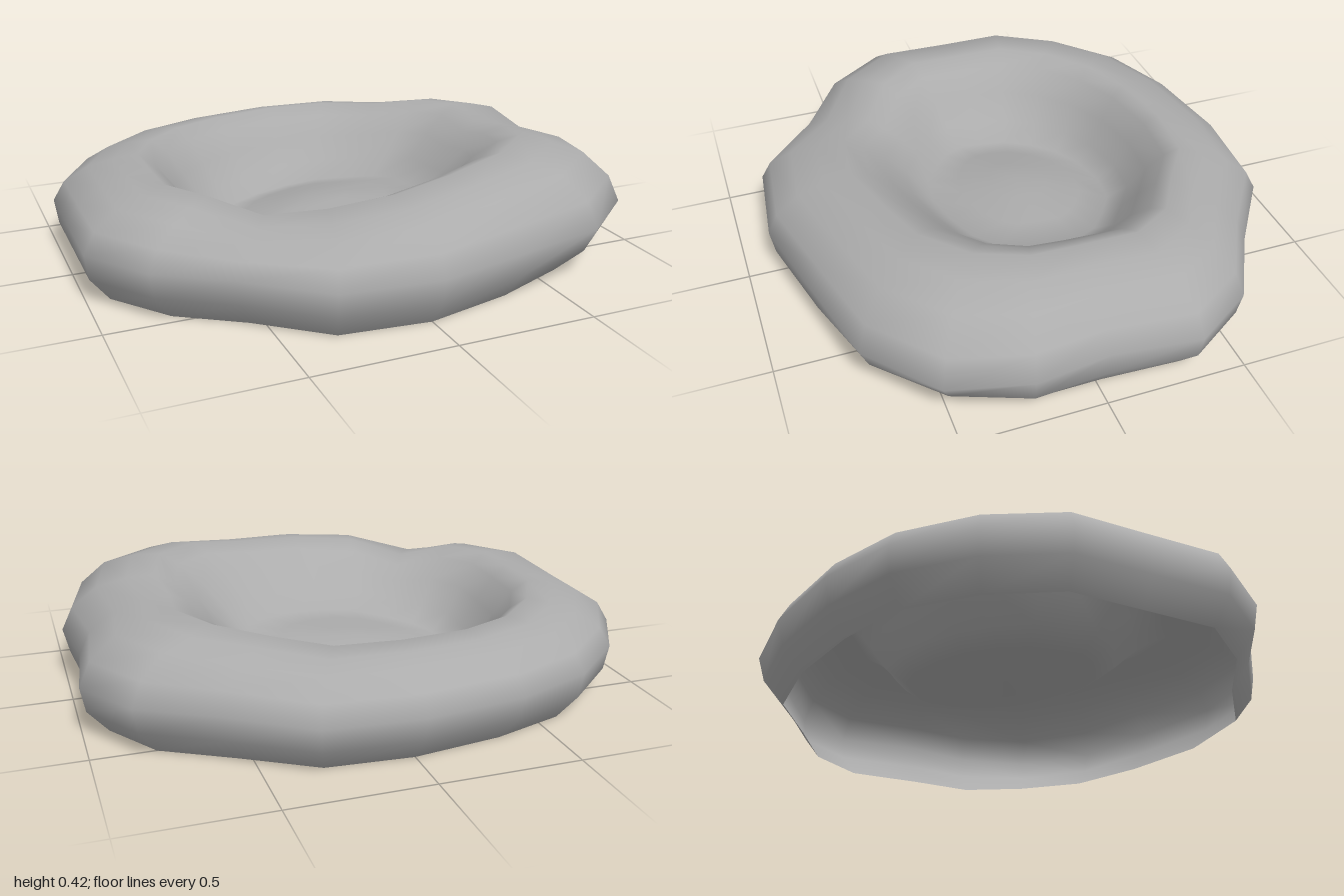
import * as THREE from 'three';

// Plan outline, clockwise from the back: x, z, crest height and foot scale
const foot = 0.91;
const outline = [
  [0, -0.91, 0.34, 0.89], [0.34, -0.885, 0.34, 0.89], [0.6, -0.7, 0.35, foot],
  [0.86, -0.55, 0.375, foot], [1, -0.33, 0.385, foot], [0.965, -0.02, 0.37, 0.93],
  [1, 0.25, 0.395, 0.9], [0.93, 0.53, 0.418, 0.83], [0.69, 0.735, 0.41, 0.86],
  [0.35, 0.82, 0.38, foot], [0, 0.905, 0.36, foot], [-0.35, 0.87, 0.335, foot],
  [-0.6, 0.66, 0.29, foot], [-0.84, 0.5, 0.345, foot], [-1, 0.27, 0.35, 0.92],
  [-1, -0.02, 0.345, 0.92], [-1, -0.3, 0.345, 0.92], [-0.86, -0.55, 0.34, foot],
  [-0.64, -0.75, 0.335, foot], [-0.36, -0.86, 0.335, 0.89],
];

// Section from above the foot over the rim into the hollow:
// plan scale, fixed height, share of the crest height
const section = [
  [1, 0.18, 0], [0.96, 0.13, 0.35], [0.87, 0.03, 0.8], [0.77, 0, 0.96], [0.68, 0, 1],
  [0.62, 0, 0.9], [0.55, 0.06, 0.54], [0.48, 0.12, 0.14], [0.4, 0.11, 0],
  [0.28, 0.125, 0], [0.14, 0.145, 0],
];

const hollowCentre = [-0.08, -0.07];
const floorTilt = 0.1;

function cushionGeometry() {
  const n = outline.length;
  const positions = [];
  const index = [];

  // Open foot and the flare above it
  for (const [x, z, , s] of outline) positions.push(x * s, 0, z * s);
  for (const [x, z, , s] of outline) {
    const k = 0.983 + (s - foot) * 0.5;
    positions.push(x * k, 0.09, z * k);
  }

  for (const [scale, base, share] of section) {
    // Inner loops grow rounder, shallower at the front, and drift off centre
    const drift = Math.max(0, 0.91 - scale);
    const round = Math.max(0, 0.74 - scale) / 0.74;
    const tilt = round > 0 ? floorTilt * (1 - share) : 0;
    for (const [x, z, crest] of outline) {
      const k = scale * THREE.MathUtils.lerp(1, 0.95 / Math.hypot(x, z), round);
      const front = z > 0 ? 1 - 0.35 * round : 1;
      const px = x * k + hollowCentre[0] * drift;
      const pz = z * k * front + hollowCentre[1] * drift;
      positions.push(px, base + share * crest + tilt * (px + pz), pz);
    }
  }
  // Middle of the slightly domed floor
  positions.push(hollowCentre[0] * 0.91, 0.14, hollowCentre[1] * 0.91);

  const loops = section.length + 2;
  const centre = loops * n;
  for (let i = 0; i < n; i++) {
    const next = (i + 1) % n;
    for (let j = 0; j < loops - 1; j++) {
      const a = j * n + i, b = j * n + next;
      index.push(a, a + n, b, b, a + n, b + n);
    }
    const last = (loops - 1) * n;
    index.push(last + i, centre, last + next);
  }

  const geometry = new THREE.BufferGeometry();
  geometry.setAttribute('position', new THREE.Float32BufferAttribute(positions, 3));
  geometry.setIndex(index);
  geometry.computeVertexNormals();
  return geometry;
}

export function createModel() {
  const group = new THREE.Group();
  group.name = 'dentedCushion';

  const grey = new THREE.MeshStandardMaterial({ color: 0xacacac, side: THREE.DoubleSide });
  grey.name = 'grey fabric';

  // Soft open-bottomed shell with a sunken seat
  const cushion = new THREE.Mesh(cushionGeometry(), grey);
  cushion.name = 'cushion';
  group.add(cushion);
  return group;
}
